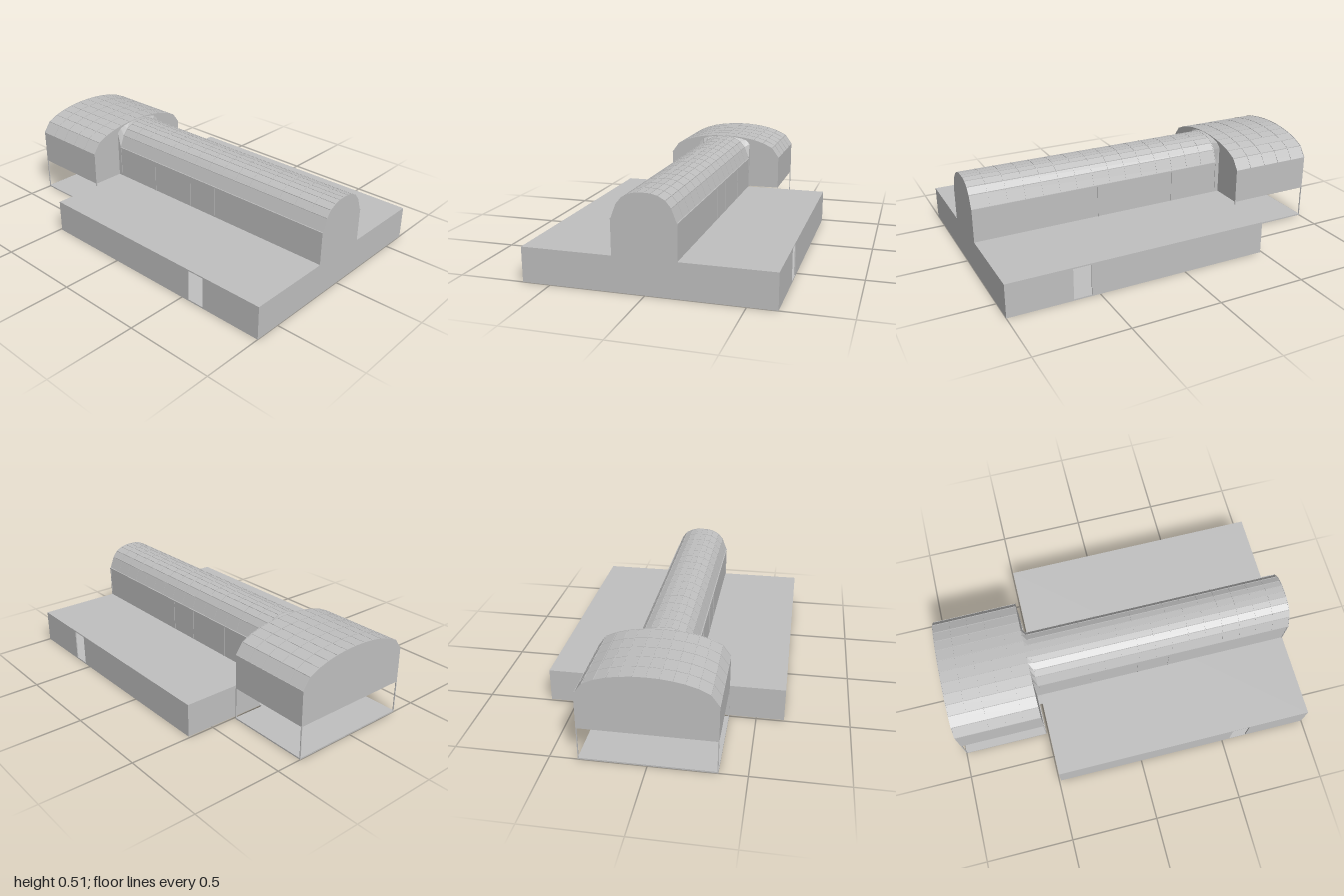
import * as THREE from 'three';

export function createModel() {
  const model = new THREE.Group();
  const concrete = new THREE.MeshStandardMaterial({ color: 0xc0c0c0, side: THREE.DoubleSide });
  concrete.name = 'lightGrey';

  const BASE_Y = 0.187, BASE_X = 0.65, BASE_BACK = -0.49, WING_FRONT = -0.512;

  function add(name, geometry, parent = model) {
    const mesh = new THREE.Mesh(geometry, concrete);
    mesh.name = name;
    parent.add(mesh);
    return mesh;
  }
  // box given by its two extreme corners
  function box(name, x0, x1, y0, y1, z0, z1, parent) {
    const g = new THREE.BoxGeometry(x1 - x0, y1 - y0, z1 - z0);
    g.translate((x0 + x1) / 2, (y0 + y1) / 2, (z0 + z1) / 2);
    return add(name, g, parent);
  }
  function group(name) {
    const g = new THREE.Group();
    g.name = name;
    model.add(g);
    return g;
  }
  // half profile (eaves to ridge) mirrored to a full arch, left to right
  const mirror = half => [
    ...half.map(([x, y]) => [-x, y]),
    ...half.slice(0, -1).reverse(),
  ];
  // flat-shaded skin between two matching cross-sections
  function loft(a, za, b, zb) {
    const p = [];
    for (let i = 0; i < a.length - 1; i++) {
      const A = [...a[i], za], B = [...a[i + 1], za], C = [...b[i + 1], zb], D = [...b[i], zb];
      p.push(...A, ...C, ...B, ...A, ...D, ...C);
    }
    const g = new THREE.BufferGeometry();
    g.setAttribute('position', new THREE.Float32BufferAttribute(p, 3));
    g.computeVertexNormals();
    return g;
  }
  const toShape = pts => new THREE.Shape(pts.map(([x, y]) => new THREE.Vector2(x, y)));
  function plate(name, shape, z, depth, parent) {
    const g = new THREE.ExtrudeGeometry(shape, { depth, bevelEnabled: false });
    g.translate(0, 0, z);
    return add(name, g, parent);
  }
  // thin glazing bars across and along a vault
  function glazingBars(profile, zFront, zBack, count, parent) {
    const roof = profile.slice(1, -1);
    const outer = roof.map(([x, y]) => [x * 1.004, y + 0.002]);
    const band = toShape([...outer, ...roof.slice().reverse()]);
    for (let i = 0; i <= count; i++) {
      const z = zFront - 0.003 + (zBack - zFront + 0.003) * i / count;
      plate('roofRib', band, z, 0.003, parent);
    }
    for (const [x, y] of roof) {
      box('roofBar', x - 0.0015, x + 0.0015, y - 0.0015, y + 0.0015, zBack, zFront, parent);
    }
  }

  // Broad hollow base with a doorway on each side
  const base = group('base');
  box('baseFloor', -BASE_X, BASE_X, 0, 0.008, BASE_BACK, 1, base);
  box('baseRoof', -BASE_X, BASE_X, 0.18, BASE_Y, BASE_BACK, 1, base);
  box('frontWall', -BASE_X, BASE_X, 0, BASE_Y, 0.994, 1, base);
  for (const s of [-1, 1]) {
    const x0 = Math.min(s * BASE_X, s * (BASE_X - 0.006));
    box('sideWallFront', x0, x0 + 0.006, 0, BASE_Y, 0.645, 1, base);
    box('sideWallBack', x0, x0 + 0.006, 0, BASE_Y, BASE_BACK, 0.545, base);
    const inner = s * 0.165, outer = s * BASE_X;
    box('backWall', Math.min(inner, outer), Math.max(inner, outer), 0, BASE_Y,
      BASE_BACK, BASE_BACK + 0.006, base);
  }

  // Long narrow vaulted hall
  const hall = group('longHall');
  const hallProfile = mirror([
    [0.165, BASE_Y], [0.165, 0.372], [0.137, 0.445], [0.108, 0.48], [0.07, 0.5], [0.035, 0.508], [0, 0.509],
  ]);
  add('hallShell', loft(hallProfile, 1, hallProfile, BASE_BACK), hall);
  plate('hallFrontWall', toShape(hallProfile), 0.996, 0.004, hall);
  glazingBars(hallProfile, 1, BASE_BACK, 15, hall);
  for (const s of [-1, 1]) {
    box('eavesRail', s * 0.167 - 0.003, s * 0.167 + 0.003, 0.368, 0.376, BASE_BACK, 1, hall);
    for (const z of [0.998, 0.283, 0.098, -0.187, -0.488]) {
      box('wallPost', s * 0.166 - 0.002, s * 0.166 + 0.002, BASE_Y, 0.372, z - 0.002, z + 0.002, hall);
    }
  }

  // Short connector widening from the hall arch into the rear wing
  const mouth = mirror([
    [0.165, BASE_Y], [0.165, 0.462], [0.14, 0.486], [0.108, 0.496], [0.07, 0.503], [0.035, 0.507], [0, 0.508],
  ]);
  add('connector', loft(hallProfile, BASE_BACK, mouth, WING_FRONT));
  box('connectorFloor', -0.165, 0.165, 0, 0.008, WING_FRONT, BASE_BACK);

  // Raised vaulted rear wing, open underneath
  const wing = group('rearWing');
  const wingProfile = mirror([
    [0.354, BASE_Y], [0.354, 0.382], [0.31, 0.443], [0.25, 0.471], [0.19, 0.489], [0.13, 0.5],
    [0.065, 0.507], [0, 0.509],
  ]);
  add('wingShell', loft(wingProfile, WING_FRONT, wingProfile, -1), wing);
  plate('wingBackWall', toShape(wingProfile), -1, 0.004, wing);
  // the front wall stands as a frame around the connector mouth
  const frontFrame = toShape([...wingProfile, ...mouth.slice().reverse()]);
  plate('wingFrontWall', frontFrame, WING_FRONT - 0.004, 0.004, wing);
  glazingBars(wingProfile, WING_FRONT, -1, 5, wing);

  // Ground slab and slender corner posts below the wing
  box('wingFloor', -0.354, 0.354, 0, 0.008, -1, WING_FRONT, wing);
  for (const x of [-0.3515, 0.3515]) {
    for (const z of [-0.9975, WING_FRONT - 0.0025]) {
      box('cornerPost', x - 0.0025, x + 0.0025, 0, BASE_Y, z - 0.0025, z + 0.0025, wing);
    }
  }
  return model;
}
